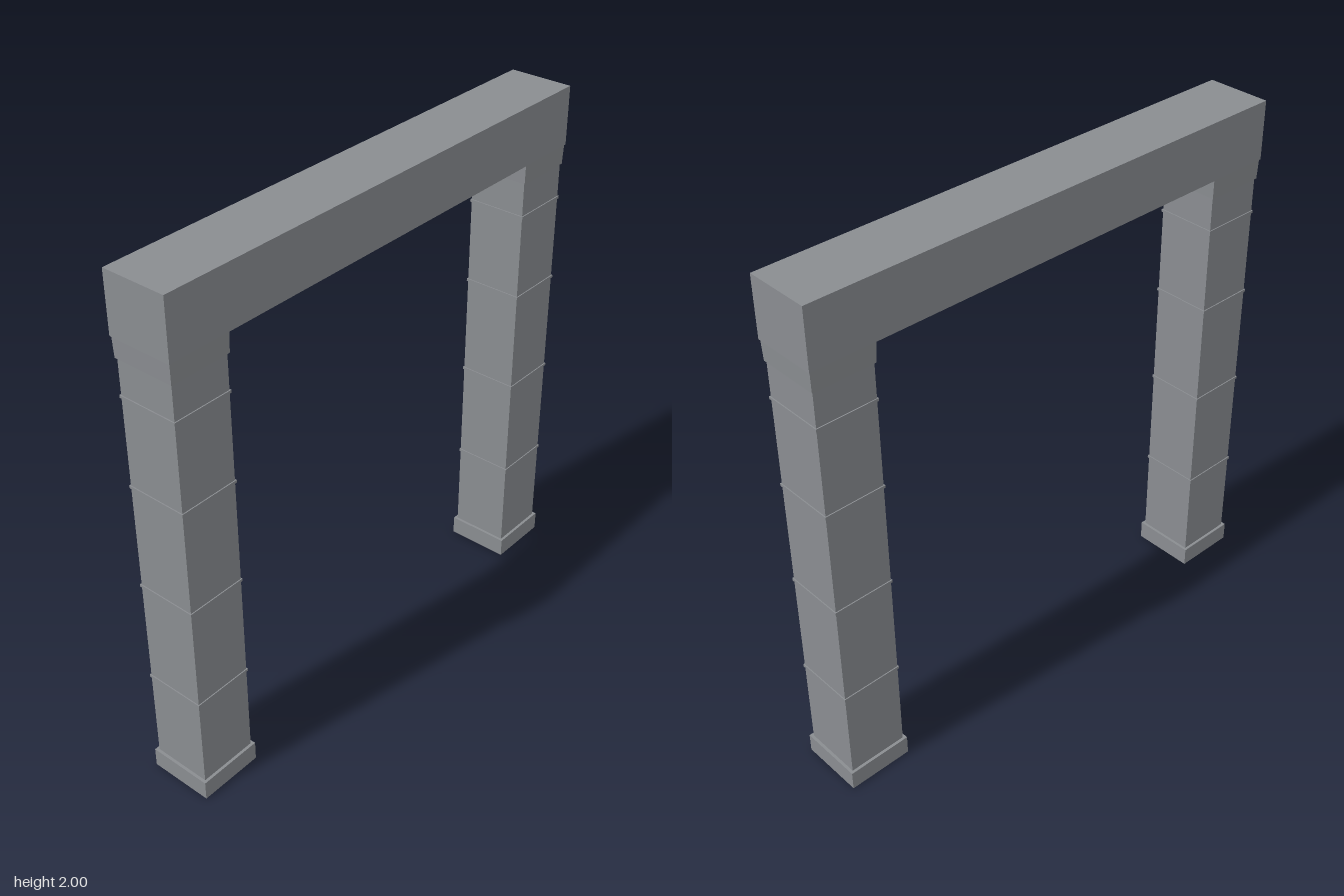
import * as THREE from 'three';

export function createModel() {
  const group = new THREE.Group();
  group.name = 'gateway';
  const stone = new THREE.MeshStandardMaterial({ color: 0x8a8d91 });
  stone.name = 'grey stone';

  // Box spanning y0..y1, with an optional separate bottom size for a taper
  function block(parent, name, w, d, y0, y1, bottomScale = 1) {
    const geo = new THREE.BoxGeometry(w, y1 - y0, d);
    const p = geo.attributes.position;
    for (let i = 0; i < p.count; i++) {
      if (p.getY(i) < 0) p.setXYZ(i, p.getX(i) * bottomScale, p.getY(i), p.getZ(i) * bottomScale);
    }
    geo.computeVertexNormals();
    const mesh = new THREE.Mesh(geo, stone);
    mesh.name = name;
    mesh.position.y = (y0 + y1) / 2;
    parent.add(mesh);
  }

  // Lintel across the top
  block(group, 'lintel', 2, 0.25, 1.775, 2);

  // Matching pillars, each with foot, shaft, joint bands and capital
  for (const side of [1, -1]) {
    const pillar = new THREE.Group();
    pillar.name = side > 0 ? 'leftPillar' : 'rightPillar';
    pillar.position.x = side * 0.875;
    block(pillar, 'foot', 0.25, 0.25, 0, 0.075);
    block(pillar, 'shaft', 0.228, 0.228, 0.075, 1.7);
    for (const y of [0.43, 0.83, 1.23, 1.565]) {
      block(pillar, 'jointBand', 0.236, 0.236, y - 0.005, y + 0.005);
    }
    block(pillar, 'capital', 0.243, 0.243, 1.7, 1.775, 0.98);
    group.add(pillar);
  }
  return group;
}
